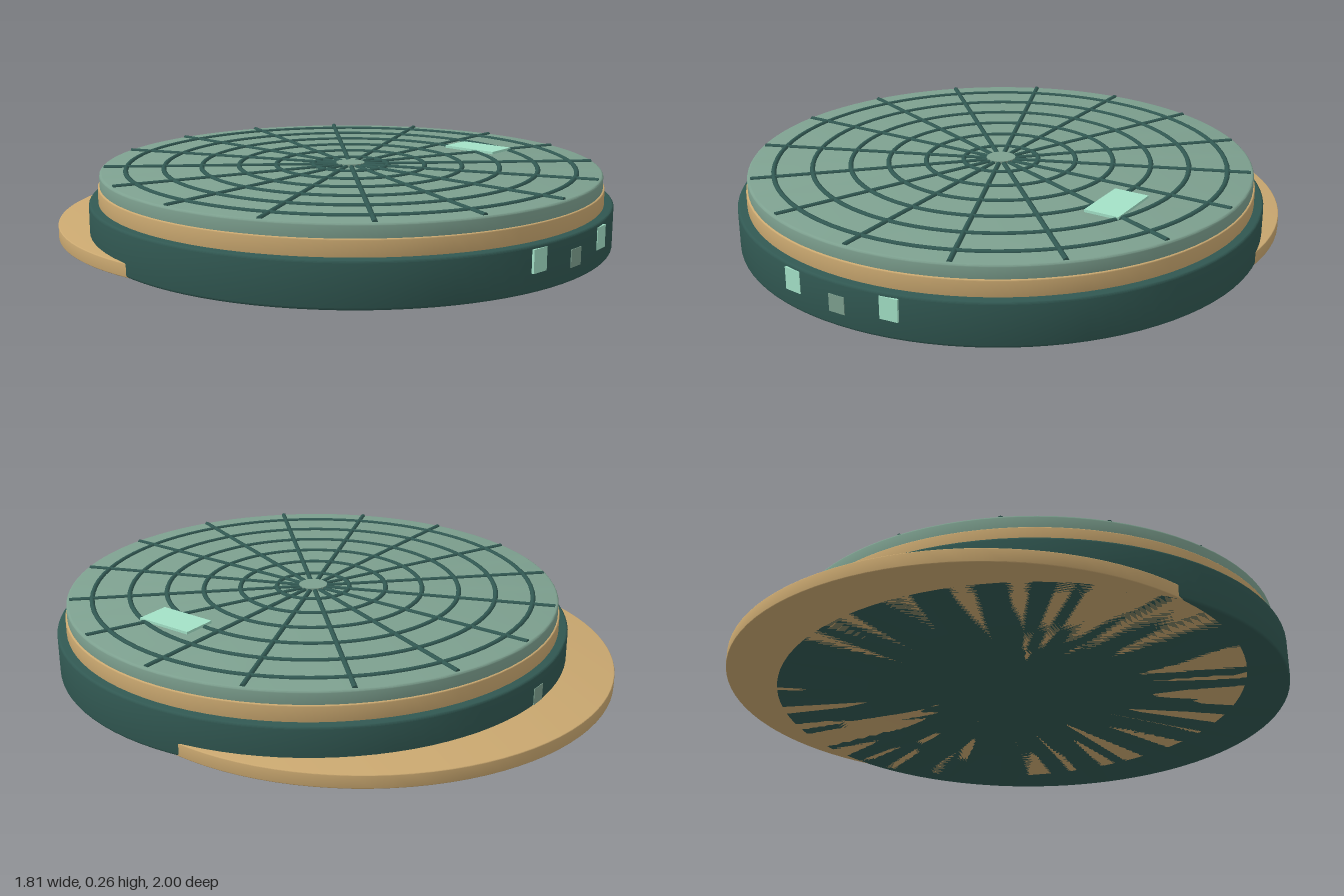
import * as THREE from 'three';
import { toCreasedNormals } from 'three/addons/utils/BufferGeometryUtils.js';

const CZ = 0.092;      // centre of the round body along z
const BODY_R = 0.907;

function material(name, color) {
  const m = new THREE.MeshStandardMaterial({ color });
  m.name = name;
  return m;
}

// Disc with rounded top and bottom edges, smooth around the rounding
function disc(r, y0, y1, bevel) {
  const points = [new THREE.Vector2(0, y0)];
  const steps = 4;
  for (const [y, start] of [[y0 + bevel, -Math.PI / 2], [y1 - bevel, 0]]) {
    for (let i = 0; i <= steps; i++) {
      const a = start + (i / steps) * Math.PI / 2;
      points.push(new THREE.Vector2(r - bevel + bevel * Math.cos(a), y + bevel * Math.sin(a)));
    }
  }
  points.push(new THREE.Vector2(0, y1));
  return toCreasedNormals(new THREE.LatheGeometry(points, 96), 0.5);
}

export function createModel() {
  const dark = material('dark green', 0x315852);
  const sage = material('sage green', 0x7da08f);
  const tan = material('tan', 0xcaa870);
  const mint = material('mint', 0xa3e1c7);

  const model = new THREE.Group();
  model.name = 'roundPlatform';
  const body = new THREE.Group();
  body.name = 'body';
  body.position.z = CZ;
  model.add(body);

  function add(parent, name, geometry, mat) {
    const mesh = new THREE.Mesh(geometry, mat);
    mesh.name = name;
    parent.add(mesh);
    return mesh;
  }

  // Stacked discs
  add(body, 'base', disc(BODY_R, 0, 0.148, 0.008), dark);
  add(body, 'middleBand', disc(0.875, 0.14, 0.202, 0.004), tan);
  add(body, 'topPlate', disc(0.869, 0.195, 0.247, 0.008), sage);

  // Offset slab sliding out at the back, resting on the same ground as the base
  add(model, 'backSlab', disc(0.895, 0, 0.046, 0.003), tan).position.z = -0.105;

  // Raised web: concentric round rings and spokes, half sunk into the plate
  const web = new THREE.Group();
  web.name = 'web';
  web.position.y = 0.246;
  body.add(web);
  const thick = 0.009;
  for (let i = 1; i <= 6; i++) {
    const ring = new THREE.TorusGeometry(i * 0.13, thick, 8, 80);
    add(web, 'ring' + i, ring.rotateX(Math.PI / 2), dark);
  }
  const inner = 0.04, outer = 0.858;
  for (let i = 0; i < 16; i++) {
    const spoke = new THREE.CylinderGeometry(thick, thick, outer - inner, 8);
    spoke.rotateZ(-Math.PI / 2).translate((outer + inner) / 2, 0, 0);
    add(web, 'spoke' + (i + 1), spoke, dark).rotation.y = i * Math.PI / 8;
  }
  add(web, 'hub', new THREE.CylinderGeometry(0.05, 0.05, 0.02, 32), sage);

  // Small flat panel on the top
  add(model, 'topPanel', new THREE.BoxGeometry(0.12, 0.009, 0.21), mint).position.set(0.54, 0.2535, 0.26);

  // Lights on either side of the front, nearly flush with the rim
  for (const [name, x, turn] of [['leftLight', 0.18, 0.1], ['rightLight', -0.18, -0.1]]) {
    const light = add(model, name, new THREE.BoxGeometry(0.062, 0.074, 0.02), mint);
    light.position.set(x, 0.099, 0.975);
    light.rotation.y = turn;
  }

  // Ports in the middle of the front and back rim
  for (const [name, side] of [['frontPort', 1], ['backPort', -1]]) {
    add(body, name, new THREE.BoxGeometry(0.058, 0.058, 0.009), sage).position.set(0, 0.074, side * (BODY_R - 0.003));
  }

  return model;
}
